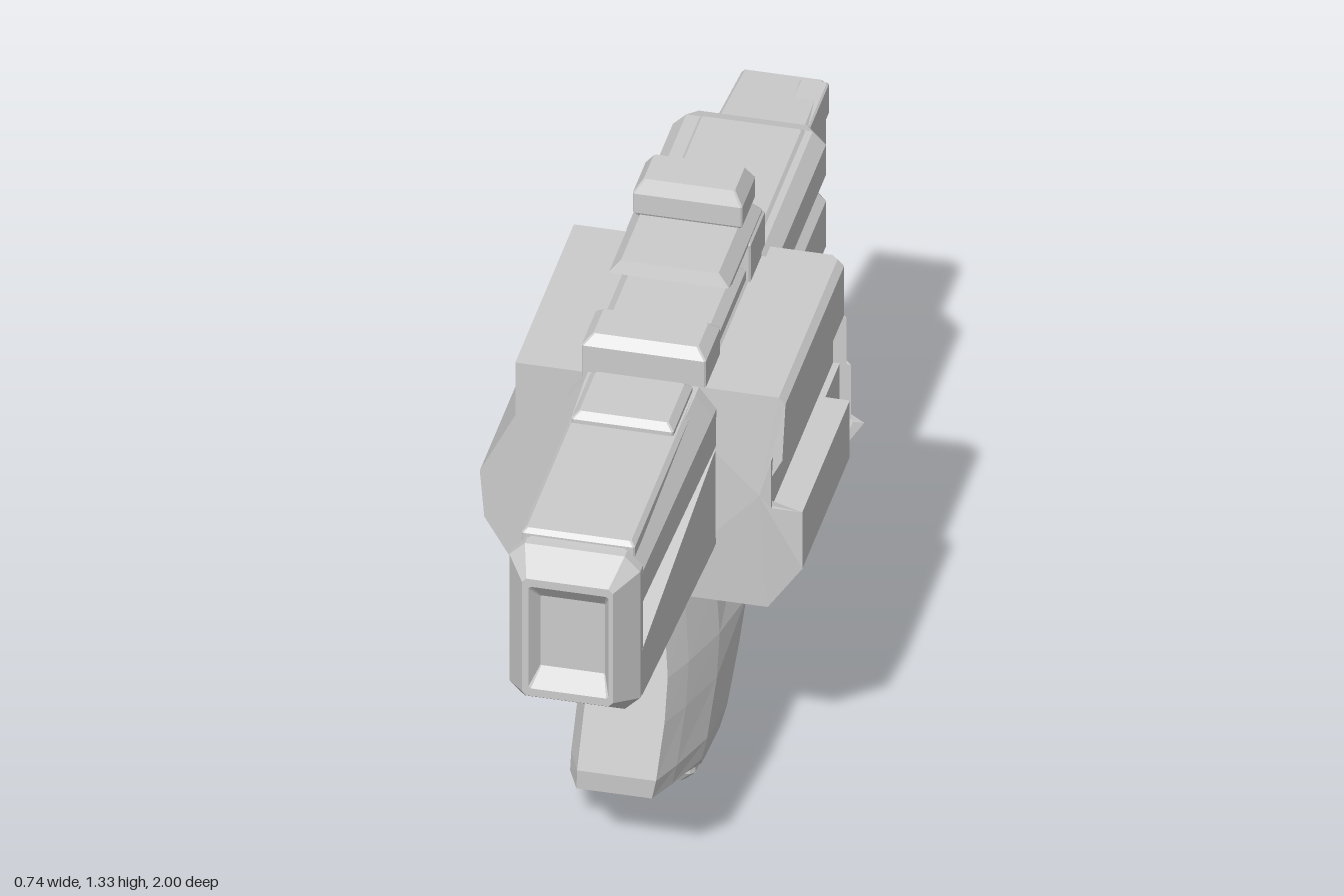
import * as THREE from 'three';

const material = new THREE.MeshStandardMaterial({ color: 0xcccccc, flatShading: true });

// Joins equal-length rings of [x, y, z] points and closes both ends with fans.
function loft(rings) {
  const pos = [];
  const n = rings[0].length;
  const tri = (a, b, c) => pos.push(...a, ...b, ...c);
  for (let r = 0; r < rings.length - 1; r++) {
    for (let i = 0; i < n; i++) {
      const j = (i + 1) % n;
      tri(rings[r][i], rings[r][j], rings[r + 1][j]);
      tri(rings[r][i], rings[r + 1][j], rings[r + 1][i]);
    }
  }
  const cap = (ring, flip) => {
    const mid = [0, 1, 2].map(k => ring.reduce((s, p) => s + p[k], 0) / n);
    ring.forEach((p, i) => {
      const q = ring[(i + 1) % n];
      flip ? tri(mid, q, p) : tri(mid, p, q);
    });
  };
  cap(rings[0], true);
  cap(rings[rings.length - 1], false);
  // Turn every face outward when the enclosed volume is negative
  let volume = 0;
  for (let i = 0; i < pos.length; i += 9) {
    const [a, b, c] = [0, 3, 6].map(k => new THREE.Vector3(pos[i + k], pos[i + k + 1], pos[i + k + 2]));
    volume += a.dot(b.cross(c));
  }
  if (volume < 0) {
    for (let i = 0; i < pos.length; i += 9) {
      for (let k = 0; k < 3; k++) [pos[i + 3 + k], pos[i + 6 + k]] = [pos[i + 6 + k], pos[i + 3 + k]];
    }
  }
  const geometry = new THREE.BufferGeometry();
  geometry.setAttribute('position', new THREE.Float32BufferAttribute(pos, 3));
  geometry.computeVertexNormals();
  return geometry;
}

// Rectangle with cut corners, as [u, v] pairs
const cutRect = (u0, u1, v0, v1, c) => [
  [u0 + c, v0], [u1 - c, v0], [u1, v0 + c], [u1, v1 - c],
  [u1 - c, v1], [u0 + c, v1], [u0, v1 - c], [u0, v0 + c],
];
const acrossZ = (x0, x1, y0, y1, c, z) => cutRect(x0, x1, y0, y1, c).map(([x, y]) => [x, y, z]);
const acrossY = (x0, x1, z0, z1, c, y) => cutRect(x0, x1, z0, z1, c).map(([x, z]) => [x, y, z]);

export function createModel() {
  const group = new THREE.Group();
  const add = (name, geometry) => {
    const mesh = new THREE.Mesh(geometry, material);
    mesh.name = name;
    group.add(mesh);
  };
  // Block whose top edges are bevelled by b
  const block = (name, x0, x1, y0, y1, z0, z1, b) => add(name, loft([
    acrossY(x0, x1, z0, z1, 0.004, y0),
    acrossY(x0, x1, z0, z1, 0.004, y1 - b),
    acrossY(x0 + b, x1 - b, z0 + b, z1 - b, 0.004, y1),
  ]));

  // Front barrel with a wedge-shaped channel in its left side
  const barrelRing = (z, x0, x1, y0, y1, floorY) => [
    [x0 + 0.04, y0], [x1 - 0.04, y0], [x1, y0 + 0.03], [x1, floorY], [x1 - 0.04, floorY],
    [x1 - 0.04, 0.96], [x1, 0.96], [x1, y1 - 0.05], [x1 - 0.04, y1], [x0 + 0.04, y1],
    [x0, y1 - 0.05], [x0, y0 + 0.03],
  ].map(([x, y]) => [x, y, z]);
  add('frontBarrel', loft([
    barrelRing(0.2, -0.165, 0.165, 0.67, 1.105, 0.95),
    barrelRing(0.31, -0.165, 0.165, 0.67, 1.105, 0.95),
    barrelRing(0.915, -0.145, 0.15, 0.685, 1.09, 0.835),
  ]));

  // Muzzle with bevelled rim and sunken face
  add('muzzle', loft([
    acrossZ(-0.145, 0.15, 0.685, 1.09, 0.035, 0.905),
    acrossZ(-0.145, 0.15, 0.685, 1.09, 0.035, 0.93),
    acrossZ(-0.1, 0.105, 0.735, 1.045, 0.01, 1),
    acrossZ(-0.085, 0.095, 0.755, 1.025, 0.005, 1),
    acrossZ(-0.065, 0.08, 0.8, 0.985, 0.002, 0.97),
  ]));
  block('barrelSidePanel', -0.163, -0.1, 0.825, 0.955, 0.28, 0.56, 0.004);
  block('barrelTopCover', -0.125, 0.13, 1.07, 1.105, 0.28, 0.9, 0.01);
  block('barrelTopPad', -0.115, 0.115, 1.09, 1.13, 0.29, 0.475, 0.015);

  // Central body
  add('body', loft([
    acrossZ(-0.14, 0.14, 0.547, 1.12, 0.02, 0.27),
    acrossZ(-0.14, 0.14, 0.547, 1.12, 0.02, -0.285),
  ]));

  // Right side housing, bulging outward in the middle
  const rightProfile = [[0, 0.545], [-0.28, 0.545], [-0.36, 0.68], [-0.37, 0.8], [-0.29, 0.96], [-0.29, 1.1], [0, 1.1]];
  const rightRing = (z, lean) => rightProfile.map(([x, y]) => [x, y, z + (x < -0.3 ? lean : 0)]);
  add('rightHousing', loft([rightRing(0.27, 0), rightRing(-0.28, -0.01)]));

  // Left side housing: recessed side wall, lower ledge and rear rim
  const frontZ = y => (y > 1 || y < 0.6 ? 0.275 : 0.305);
  const rearZ = y => (y > 1 ? -0.29 : y < 0.6 ? -0.28 : -0.325);
  const leftRing = (low, high, zAt) => [
    [0, 0.545], [0.28, 0.545], [low > 0.32 ? 0.365 : 0.34, 0.68], [low, 0.685], [low, 0.83],
    [high, 0.83], [high, 0.955], [0.32, 0.96], [0.32, 1.09], [0.305, 1.105], [0, 1.105],
  ].map(([x, y]) => [x, y, zAt(y)]);
  add('leftHousing', loft([
    leftRing(0.365, 0.295, frontZ),
    leftRing(0.365, 0.295, () => -0.14),
    leftRing(0.31, 0.295, () => -0.141),
    leftRing(0.31, 0.295, () => -0.275),
    leftRing(0.335, 0.325, () => -0.276),
    leftRing(0.3, 0.29, rearZ).map(([x, y, z]) => [Math.min(x, 0.29), y, z]),
  ]));

  // Rear barrel: two stacked halves around a narrow groove
  const rearHalf = (name, y0, y1) => add(name, loft([
    acrossZ(-0.175, 0.17, y0, y1, 0.03, -0.25),
    acrossZ(-0.175, 0.17, y0, y1, 0.03, -0.73),
    acrossZ(-0.15, 0.145, y0 + 0.01, y1 - 0.01, 0.025, -0.765),
  ]));
  rearHalf('rearBarrelLower', 0.785, 0.965);
  rearHalf('rearBarrelUpper', 0.975, 1.115);
  block('rearBarrelCore', -0.14, 0.14, 0.9, 1.03, -0.76, -0.25, 0.005);
  block('rearBarrelCover', -0.115, 0.125, 1.1, 1.122, -0.73, -0.3, 0.008);

  // Tail
  add('tail', loft([
    acrossZ(-0.095, 0.115, 0.865, 1.08, 0.008, -0.74),
    acrossZ(-0.085, 0.105, 0.88, 1.065, 0.008, -1),
  ]));
  block('tailSideStrip', 0.05, 0.115, 0.99, 1.07, -0.99, -0.75, 0.004);

  // Top rail, front block and rear sight
  block('topRail', -0.13, 0.13, 1.09, 1.155, -0.15, 0.14, 0.02);
  block('frontSightBlock', -0.14, 0.14, 1.09, 1.195, 0.135, 0.275, 0.022);
  block('sightPost', -0.14, 0.14, 1.09, 1.21, -0.285, -0.145, 0.01);
  add('sightPlate', loft([
    acrossY(-0.135, 0.135, -0.28, 0.01, 0.004, 1.2),
    acrossY(-0.135, 0.135, -0.28, 0.04, 0.004, 1.21),
    acrossY(-0.11, 0.11, -0.26, 0.03, 0.004, 1.24),
  ]));
  add('rearSight', loft([
    acrossY(-0.11, 0.105, -0.265, -0.16, 0.004, 1.225),
    acrossY(-0.127, 0.12, -0.278, -0.15, 0.004, 1.245),
    acrossY(-0.127, 0.12, -0.278, -0.15, 0.004, 1.295),
    acrossY(-0.105, 0.1, -0.262, -0.165, 0.004, 1.328),
  ]));

  // Grip: [y, back z, front z, right x, left x, left bulge], top to bottom
  const gripSections = [
    [0.56, -0.15, 0.31, -0.12, 0.12, 0.01],
    [0.5, -0.148, 0.325, -0.123, 0.13, 0.015],
    [0.38, -0.13, 0.36, -0.13, 0.145, 0.025],
    [0.28, -0.11, 0.39, -0.137, 0.145, 0.015],
    [0.15, -0.04, 0.428, -0.143, 0.135, 0.012],
    [0.1, -0.01, 0.425, -0.145, 0.125, 0.01],
    [0.045, 0.02, 0.3, -0.135, 0.11, 0],
  ];
  add('grip', loft(gripSections.map(([y, zb, zf, xr, xl, bulge]) => {
    const d = zf - zb;
    return [
      [xr + 0.02, y, zb], [xl - 0.05, y, zb], [xl - 0.01, y, zb + d * 0.12], [xl + bulge, y, zb + d * 0.3],
      [xl, y, zb + d * 0.6], [xl - 0.04, y, zb + d * 0.85], [xl - 0.07, y, zf],
      [xr + 0.03, y, zf], [xr, y, zf - d * 0.15], [xr, y, zb + d * 0.12],
    ];
  })));
  add('gripBase', loft([
    acrossY(-0.1, 0.075, 0.04, 0.2, 0.01, 0),
    acrossY(-0.115, 0.1, 0.025, 0.215, 0.01, 0.03),
    acrossY(-0.115, 0.1, 0.025, 0.215, 0.01, 0.06),
  ]));
  return group;
}
